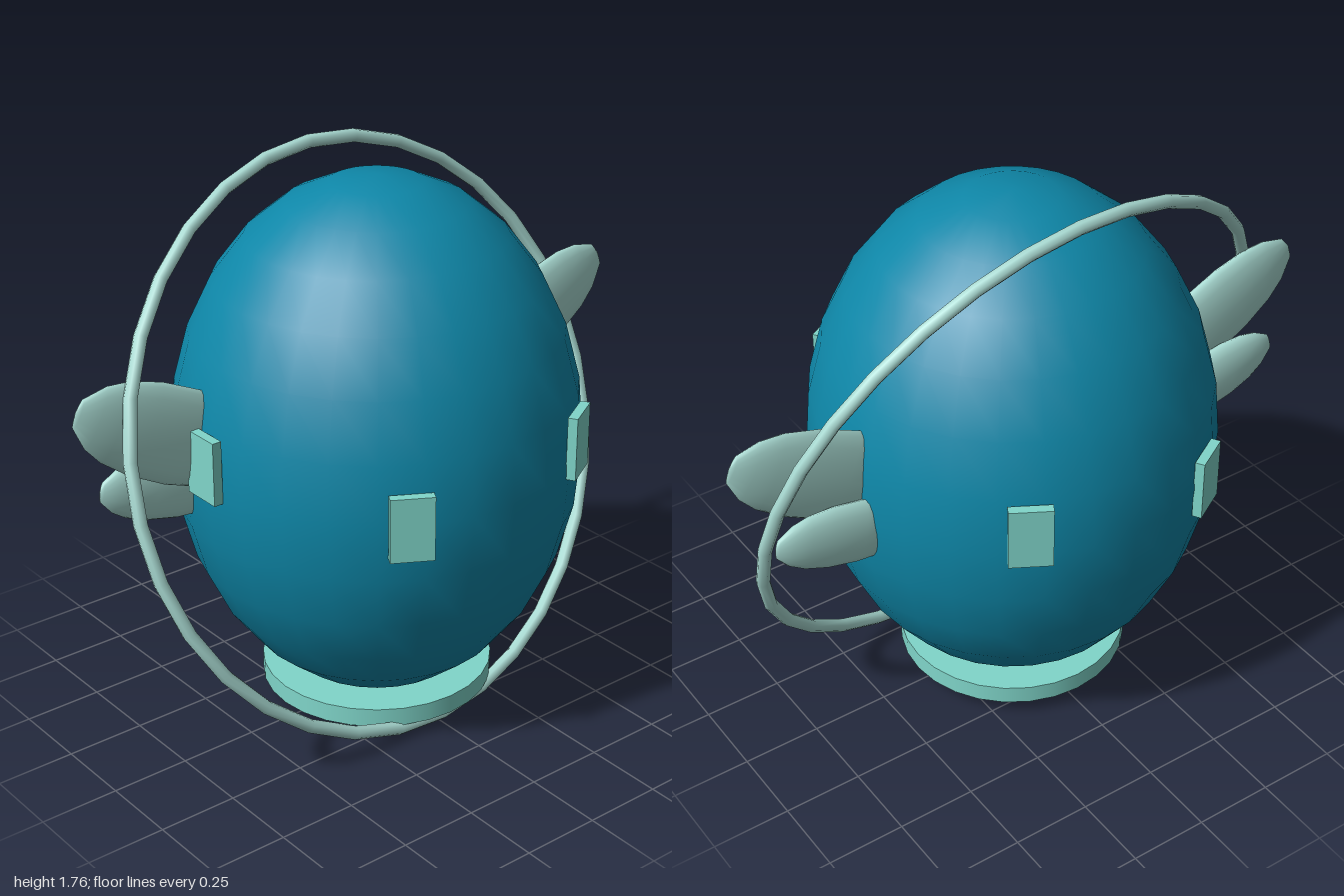
import * as THREE from 'three';

export function createModel() {
  const group = new THREE.Group();
  const mat = (name, color) => {
    const m = new THREE.MeshStandardMaterial({ color });
    m.name = name;
    return m;
  };
  const blue = mat('deepBlue', 0x0e87a8);
  const aqua = mat('aqua', 0x80d6ca);
  const pale = mat('paleAqua', 0xaadcd4);

  const add = (name, geometry, material, x = 0, y = 0, z = 0) => {
    const mesh = new THREE.Mesh(geometry, material);
    mesh.name = name;
    mesh.position.set(x, y, z);
    group.add(mesh);
    return mesh;
  };

  // Egg-shaped body
  add('body', new THREE.SphereGeometry(1, 28, 14).scale(0.63, 0.83, 0.63), blue, 0, 0.89, 0);

  // Flat foot disc
  add('base', new THREE.CylinderGeometry(0.365, 0.365, 0.06, 28), aqua, 0, 0.09, 0);

  // Tilted hoop around the body
  const ring = add('ring', new THREE.TorusGeometry(0.913, 0.021, 8, 32), pale, 0, 0.885, 0);
  ring.quaternion.setFromUnitVectors(
    new THREE.Vector3(0, 0, 1), new THREE.Vector3(0.087, 0.36, 1).normalize());

  // Six panels around the middle, alternating in height
  const panelGeometry = new THREE.BoxGeometry(0.13, 0.2, 0.03);
  for (let i = 0; i < 6; i++) {
    const a = (i * Math.PI) / 3;
    const panel = add('panel', panelGeometry, aqua,
      Math.cos(a) * 0.637, i % 2 ? 0.97 : 0.89, Math.sin(a) * 0.637);
    panel.rotation.y = Math.PI / 2 - a;
  }

  // Flattened, blunt-tipped fins: a large and a small one on each side
  const finProfile = [
    [0, -0.12], [0.13, -0.1], [0.148, 0.06], [0.144, 0.2], [0.124, 0.31],
    [0.095, 0.38], [0.045, 0.442], [0, 0.453],
  ].map(([r, h]) => new THREE.Vector2(r, h));
  const fins = [
    { name: 'upperFin', size: 1, depth: 0.28, tilt: 27, x: 0.6, y: 1.01, z: -0.085 },
    { name: 'lowerFin', size: 0.72, depth: 0.27, tilt: 12, x: 0.59, y: 0.85, z: -0.138 },
  ];
  for (const f of fins) {
    const geometry = new THREE.LatheGeometry(finProfile, 16)
      .scale(f.size, f.size, f.depth);
    for (const side of [-1, 1]) {
      const fin = add(f.name, geometry, pale, side * f.x, f.y, f.z);
      fin.rotation.z = -side * THREE.MathUtils.degToRad(90 - f.tilt);
    }
  }

  return group;
}
